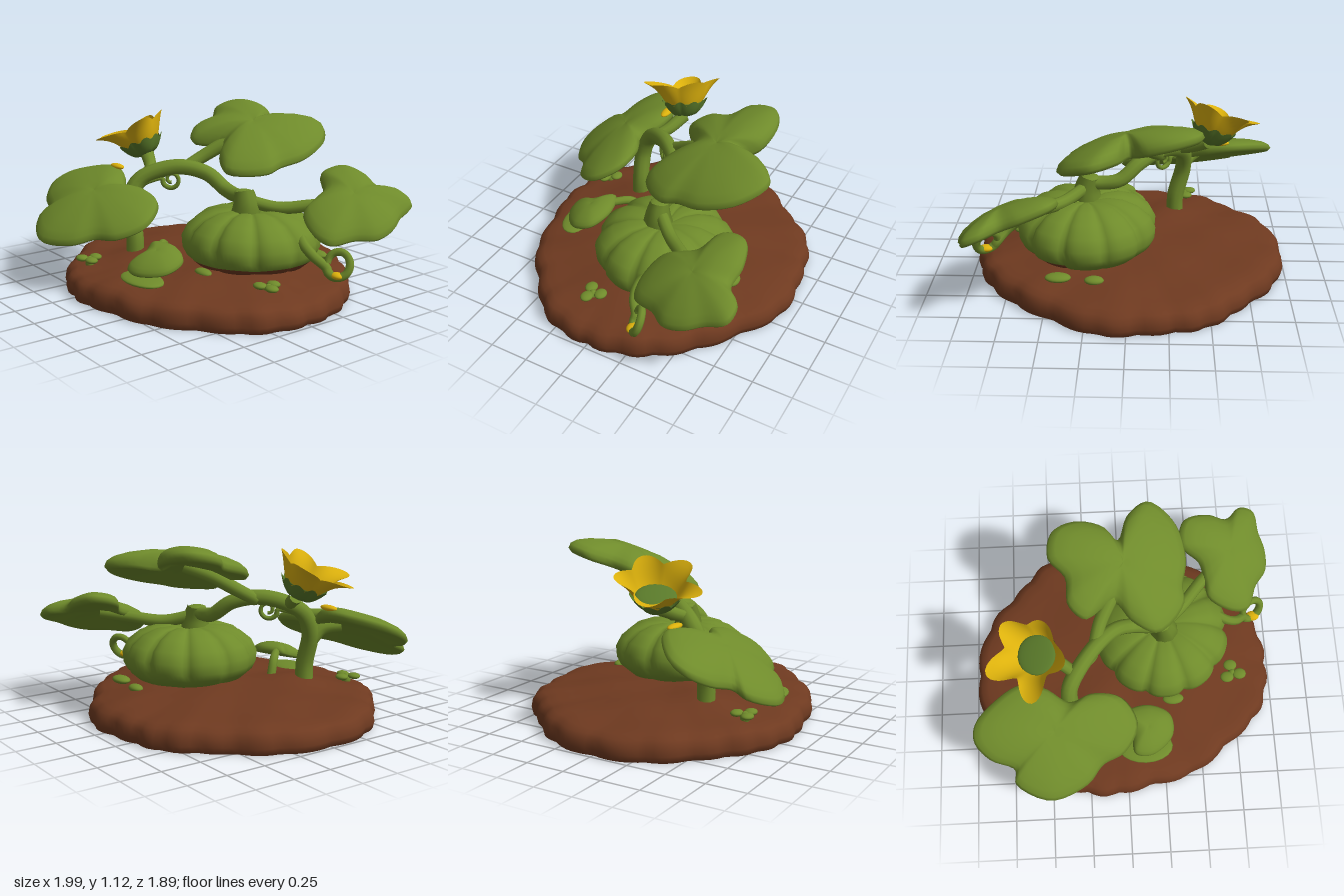
import * as THREE from 'three';

const mat = (name, color, side = THREE.FrontSide) => {
  const m = new THREE.MeshStandardMaterial({ color, side });
  m.name = name;
  return m;
};
const V = (p) => new THREE.Vector3(...p);

// Closed-loop cross-sections joined into one smooth skin, from top centre outward
function loft(rows, cols, point) {
  const pos = [], index = [];
  for (let r = 0; r < rows; r++)
    for (let c = 0; c < cols; c++) pos.push(...point(r, c / cols));
  for (let r = 0; r < rows - 1; r++)
    for (let c = 0; c < cols; c++) {
      const n = (c + 1) % cols, a = r * cols + c, b = r * cols + n;
      index.push(a, b, a + cols, b, b + cols, a + cols);
    }
  const g = new THREE.BufferGeometry();
  g.setAttribute('position', new THREE.Float32BufferAttribute(pos, 3));
  g.setIndex(index);
  g.computeVertexNormals();
  return g;
}

// Tube whose radius runs from r0 to r1
function taperedTube(points, r0, r1, seg = 32, sides = 10) {
  const curve = new THREE.CatmullRomCurve3(points.map(V));
  const g = new THREE.TubeGeometry(curve, seg, 1, sides);
  const p = g.attributes.position, v = new THREE.Vector3();
  for (let i = 0; i <= seg; i++) {
    const c = curve.getPointAt(i / seg), r = r0 + (r1 - r0) * i / seg;
    for (let j = 0; j <= sides; j++) {
      const k = i * (sides + 1) + j;
      v.fromBufferAttribute(p, k).sub(c).multiplyScalar(r).add(c);
      p.setXYZ(k, v.x, v.y, v.z);
    }
  }
  return g;
}

// Domed lobed leaf: outline in x/z, slopes tilt it, thin rounded rim
function leafGeometry({ centre: [cx, cy, cz], slope: [sx, sz], dome, thick, outline }) {
  const edge = new THREE.CatmullRomCurve3(outline.map(([x, z]) => new THREE.Vector3(x, 0, z)), true);
  // [fraction of outline, height within thickness]
  const section = [[0, 0.35], [0.2, 0.5], [0.45, 0.55], [0.7, 0.5], [0.88, 0.4], [0.97, 0.2], [1, -0.1],
    [0.96, -0.4], [0.85, -0.5], [0.5, -0.5], [0, -0.5]];
  return loft(section.length, 72, (r, u) => {
    const [t, h] = section[r], e = edge.getPoint(u);
    const dx = (e.x - cx) * t, dz = (e.z - cz) * t;
    return [cx + dx, cy + sx * dx + sz * dz + dome * (0.5 - t * t) + h * thick, cz + dz];
  });
}

export function createModel() {
  const soil = mat('soil brown', 0x6f3a20);
  const green = mat('leaf green', 0x6f8b2b);
  const darkGreen = mat('calyx green', 0x5a7a2a, THREE.DoubleSide);
  const yellow = mat('petal yellow', 0xdcb10c, THREE.DoubleSide);
  const model = new THREE.Group();
  const add = (name, geometry, material, parent = model) => {
    const m = new THREE.Mesh(geometry, material);
    m.name = name;
    parent.add(m);
    return m;
  };
  const blob = (name, material, [x, y, z], [sx, sy, sz], parent) => {
    const m = add(name, new THREE.SphereGeometry(1, 20, 12), material, parent);
    m.position.set(x, y, z);
    m.scale.set(sx, sy, sz);
    return m;
  };

  // Earth mound with an uneven rim, heaped a little under the pumpkin and the main vine
  const radii = [0.985, 0.97, 0.88, 0.86, 0.83, 0.88, 0.91, 0.92, 0.985, 0.995, 0.98, 0.93, 0.96, 0.93, 0.945, 0.9, 0.92, 0.965];
  const rim = new THREE.CatmullRomCurve3(radii.map((r, i) => {
    const a = i * Math.PI * 2 / radii.length;
    return new THREE.Vector3(r * Math.cos(a), 0, r * Math.sin(a));
  }), true);
  const mound = [[0, 0.195], [0.15, 0.195], [0.3, 0.19], [0.43, 0.185], [0.55, 0.178], [0.66, 0.17], [0.76, 0.16],
    [0.85, 0.15], [0.92, 0.138], [0.965, 0.118], [0.99, 0.085], [1, 0.04], [0.99, 0], [0.97, 0], [0, 0]];
  const heap = (x, z, cx, cz, w) => Math.exp(-((x - cx) ** 2 + (z - cz) ** 2) / (w * w));
  add('earthMound', loft(mound.length, 130, (r, u) => {
    const [t, y] = mound[r], e = rim.getPoint(u), a = u * Math.PI * 2;
    const s = t * (1.01 - 0.025 * (1 - Math.abs(Math.sin(a * 12 + Math.sin(a * 3)))));
    const x = e.x * s, z = e.z * s;
    const bump = 0.01 * Math.sin(x * 11 + 1) * Math.cos(z * 9) * Math.min(1, t * 3)
      + 0.045 * heap(x, z, 0.38, -0.1, 0.35) + 0.035 * heap(x, z, -0.28, 0.3, 0.2);
    return [x, y > 0.04 ? y + bump : y, z];
  }), soil);

  // Ribbed pumpkin, with soil clinging to the front right of its base
  const ribs = [[0, 0.5], [0.12, 0.505], [0.3, 0.525], [0.52, 0.52], [0.74, 0.485], [0.91, 0.425], [0.99, 0.355],
    [0.98, 0.29], [0.93, 0.245], [0.8, 0.195], [0.5, 0.165], [0, 0.16]];
  const pumpkin = loft(ribs.length, 100, (r, u) => {
    const [t, y] = ribs[r], a = u * Math.PI * 2;
    const groove = Math.pow(1 - Math.abs(Math.sin(a * 5)), 1.7) * Math.min(1, t * 1.6);
    const s = 0.445 * t * (1 - 0.08 * groove);
    return [0.265 + s * Math.cos(a), y - 0.015 * groove, -0.15 + s * Math.sin(a)];
  });
  const band = 600, soilRow = 8;
  pumpkin.addGroup(0, soilRow * band, 0);
  for (let r = soilRow; r < ribs.length - 1; r++) {
    pumpkin.addGroup(r * band, 180, 1);
    pumpkin.addGroup(r * band + 180, 300, 0);
    pumpkin.addGroup(r * band + 480, 120, 1);
  }
  add('pumpkin', pumpkin, [green, soil]);
  add('pumpkinStem', taperedTube([[0.27, 0.48, -0.1], [0.27, 0.56, -0.1], [0.25, 0.645, -0.1]], 0.1, 0.06), green);
  blob('stemTop', green, [0.25, 0.635, -0.1], [0.06, 0.018, 0.06]);

  // Vines and stalks: name, path, start and end radius
  const vines = [
    ['mainVine', [[-0.3, 0.14, 0.36], [-0.3, 0.3, 0.36], [-0.35, 0.52, 0.36], [-0.34, 0.66, 0.29], [-0.2, 0.745, 0.1],
      [-0.06, 0.71, -0.04], [0.06, 0.62, -0.1], [0.17, 0.6, -0.1], [0.27, 0.61, -0.1]], 0.058, 0.045],
    ['topLeafStalk', [[-0.18, 0.73, 0.06], [-0.14, 0.8, -0.06], [-0.06, 0.89, -0.2], [0.02, 0.96, -0.35]], 0.04, 0.05],
    ['frontLeafStalk', [[-0.34, 0.45, 0.36], [-0.37, 0.53, 0.44], [-0.44, 0.55, 0.54]], 0.05, 0.04],
    ['backLeafStalk', [[0.27, 0.58, -0.12], [0.4, 0.54, -0.26], [0.54, 0.56, -0.42], [0.7, 0.58, -0.56]], 0.04, 0.04],
    ['smallLeafStalk', [[-0.1, 0.16, 0.24], [-0.07, 0.29, 0.29], [0.02, 0.31, 0.38], [0.14, 0.29, 0.5]], 0.03, 0.025],
    ['flowerStalk', [[-0.3, 0.7, 0.24], [-0.38, 0.735, 0.18], [-0.49, 0.79, 0.13]], 0.035, 0.045],
  ];
  for (const [name, path, r0, r1] of vines) add(name, taperedTube(path, r0, r1, 48), green);

  // Curling tendrils, leaning sideways by tilt
  const curl = (lead, [cx, cy, cz], [ux, uz], tilt, from, turn, r0, r1) => {
    const pts = [...lead];
    for (let i = 0; i <= 14; i++) {
      const a = from + turn * i / 14, r = r0 + (r1 - r0) * i / 14;
      const c = r * Math.cos(a), s = r * Math.sin(a);
      pts.push([cx + ux * c + uz * tilt * s, cy + s, cz + uz * c - ux * tilt * s]);
    }
    return pts;
  };
  add('sideTendril', taperedTube(curl([[0.6, 0.42, -0.25], [0.7, 0.37, -0.21], [0.77, 0.32, -0.22]],
    [0.885, 0.285, -0.31], [0.85, -0.5], 0.4, 3.5, 5.9, 0.076, 0.068), 0.034, 0.022, 64, 8), green);
  blob('tendrilSpot', yellow, [0.9, 0.222, -0.285], [0.045, 0.022, 0.035]);
  add('vineTendril', taperedTube(curl([[-0.34, 0.62, 0.32], [-0.29, 0.66, 0.23]],
    [-0.21, 0.665, 0.13], [0.75, -0.65], 0, 3.1, 8, 0.065, 0.02), 0.02, 0.011, 64, 8), green);

  // Lobed leaves
  const leaves = {
    topLeaf: { centre: [0.02, 0.96, -0.36], slope: [-0.25, -0.26], dome: 0.08, thick: 0.09, outline: [
      [-0.44, -0.4], [-0.41, -0.56], [-0.27, -0.63], [-0.1, -0.61], [-0.01, -0.53], [0.06, -0.69], [0.2, -0.79],
      [0.36, -0.67], [0.42, -0.45], [0.39, -0.29], [0.39, -0.17], [0.22, 0.01], [0.06, -0.05], [-0.05, -0.16],
      [-0.23, -0.05], [-0.33, -0.13], [-0.34, -0.29]] },
    frontLeaf: { centre: [-0.45, 0.55, 0.57], slope: [-0.13, -0.5], dome: 0.07, thick: 0.08, outline: [
      [-0.94, 0.5], [-0.8, 0.36], [-0.65, 0.28], [-0.5, 0.3], [-0.35, 0.38], [-0.2, 0.33], [-0.02, 0.36],
      [0.07, 0.51], [-0.02, 0.67], [-0.16, 0.74], [-0.26, 0.85], [-0.5, 0.94], [-0.71, 0.84], [-0.71, 0.76],
      [-0.86, 0.7], [-0.95, 0.6]] },
    backLeaf: { centre: [0.73, 0.59, -0.58], slope: [-0.42, -0.3], dome: 0.07, thick: 0.08, outline: [
      [0.4, -0.61], [0.43, -0.77], [0.59, -0.83], [0.72, -0.82], [0.82, -0.91], [0.92, -0.9], [0.95, -0.77],
      [0.99, -0.66], [0.985, -0.53], [0.91, -0.42], [0.85, -0.27], [0.74, -0.24], [0.58, -0.3], [0.55, -0.4],
      [0.52, -0.52]] },
    smallLeaf: { centre: [0.14, 0.295, 0.49], slope: [-0.12, -0.3], dome: 0.05, thick: 0.05, outline: [
      [-0.03, 0.4], [0.03, 0.36], [0.16, 0.34], [0.29, 0.4], [0.3, 0.53], [0.16, 0.65], [0.05, 0.64], [0.03, 0.51]] },
  };
  for (const [name, spec] of Object.entries(leaves)) add(name, leafGeometry(spec), green);
  blob('leafSpot', yellow, [-0.58, 0.712, 0.31], [0.07, 0.018, 0.03]);

  // Moss on the soil and small sprouts
  for (const [x, y, z, rx, rz] of [[0.12, 0.165, 0.58, 0.18, 0.11], [0.32, 0.2, 0.27, 0.07, 0.04],
    [0.42, 0.185, -0.58, 0.08, 0.05], [0.2, 0.18, -0.6, 0.06, 0.04]])
    blob('mossPatch', green, [x, y, z], [rx, 0.025, rz]);
  for (const [x, z] of [[0.73, 0.1], [-0.37, 0.66]]) {
    const sprout = new THREE.Group();
    sprout.name = 'sprout';
    sprout.position.set(x, 0.16, z);
    model.add(sprout);
    for (let i = 0; i < 3; i++) {
      const a = i * 2.1 + 0.3;
      blob('sproutLeaf', green, [0.05 * Math.cos(a), 0.03, 0.05 * Math.sin(a)], [0.045, 0.02, 0.038], sprout);
    }
    blob('sproutStem', green, [0, 0.005, 0], [0.03, 0.04, 0.03], sprout);
  }

  // Wide five-petalled cup tilted forward; the lower petals fold outward
  const flower = new THREE.Group();
  flower.name = 'flower';
  flower.position.set(-0.5, 0.77, 0.13);
  flower.quaternion.setFromUnitVectors(new THREE.Vector3(0, 1, 0), V([-0.3, 0.9, 0.22]).normalize());
  model.add(flower);
  const petalWave = (a) => Math.abs(Math.cos(2.5 * (a - Math.PI / 2)));
  const cup = (t, a) => 0.19 * Math.pow(t, 0.42) * (0.9 + 0.1 * petalWave(a));
  add('petals', loft(11, 80, (r, u) => {
    const t = r / 10, a = u * Math.PI * 2, w = petalWave(a), low = 0.5 + 0.5 * Math.cos(a - 2.2);
    const s = cup(t, a) + (0.02 + 0.1 * low) * w * w * Math.pow(t, 4);
    return [s * Math.cos(a), 0.02 + t * (0.2 + 0.035 * w - 0.03 * low * t), s * Math.sin(a)];
  }), yellow, flower);
  add('calyx', loft(6, 80, (r, u) => {
    const a = u * Math.PI * 2, t = r / 5 * (0.4 + 0.12 * Math.abs(Math.sin(a * 5)));
    const s = cup(t, a) * 1.06 + 0.004;
    return [s * Math.cos(a), t * 0.235, s * Math.sin(a)];
  }), darkGreen, flower);
  blob('flowerHeart', darkGreen, [0, 0.1, 0], [0.125, 0.02, 0.125], flower);

  return model;
}
